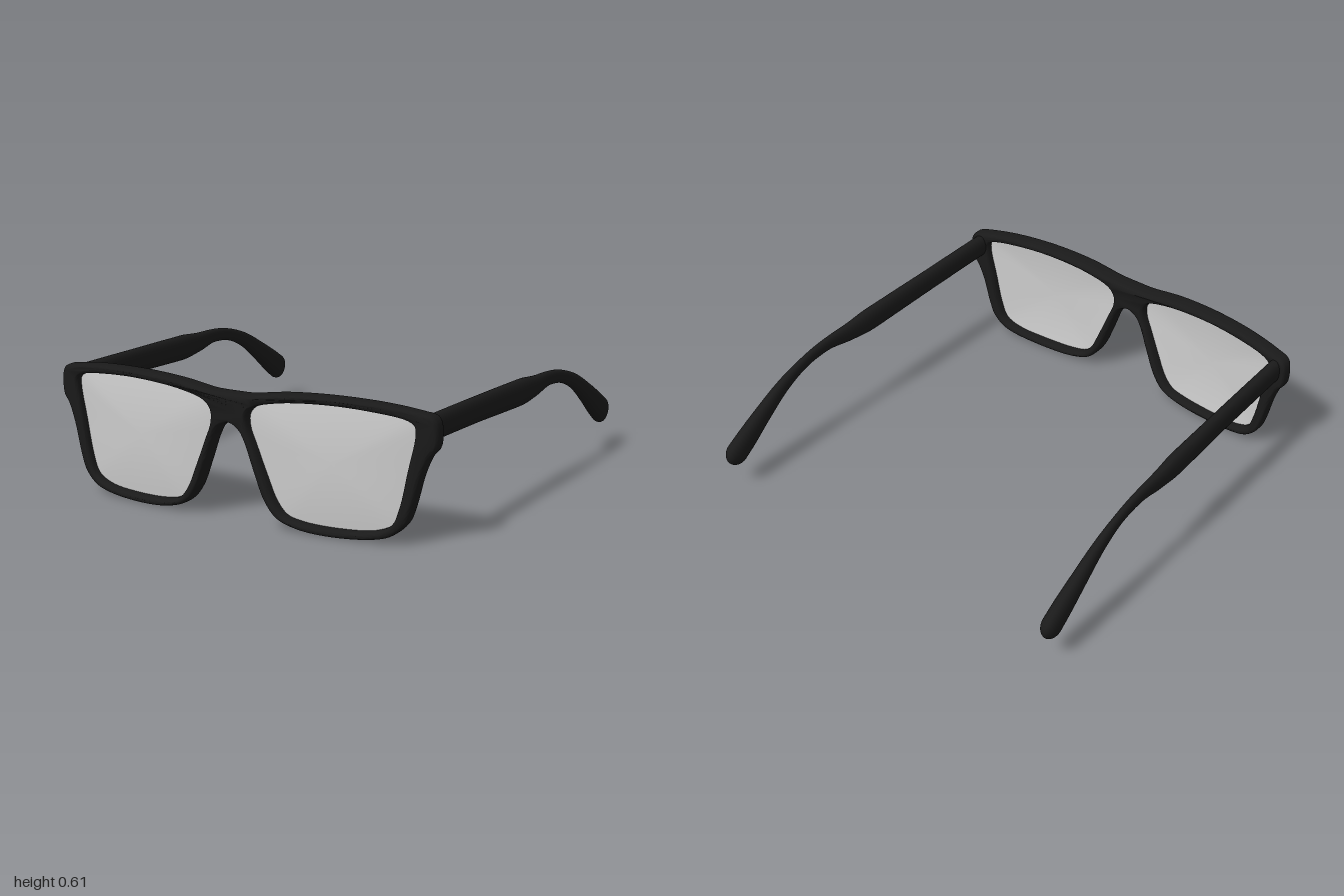
import * as THREE from 'three';
import { toCreasedNormals } from 'three/addons/utils/BufferGeometryUtils.js';

const frameMat = new THREE.MeshStandardMaterial({ color: 0x1a1a1a });
frameMat.name = 'matte black frame';
const lensMat = new THREE.MeshStandardMaterial({ color: 0xcccccc, side: THREE.DoubleSide });
lensMat.name = 'silver lens';

// Half of the frame outline, from the top centre round to the bridge underside
const OUTER = [
  [0, 0.578], [0.1, 0.58], [0.17, 0.59], [0.27, 0.604], [0.48, 0.615], [0.72, 0.608], [0.88, 0.588],
  [0.945, 0.572], [0.962, 0.54], [0.96, 0.44], [0.93, 0.4], [0.895, 0.315], [0.857, 0.17],
  [0.83, 0.1], [0.77, 0.042], [0.69, 0.016], [0.48, 0.002], [0.325, 0.016], [0.235, 0.05],
  [0.177, 0.12], [0.124, 0.25], [0.08, 0.37], [0.05, 0.42], [0, 0.445],
];
// Lens opening on the +x side
const LENS = [
  [0.124, 0.527], [0.094, 0.492], [0.094, 0.435], [0.124, 0.357], [0.177, 0.225], [0.224, 0.12],
  [0.272, 0.066], [0.35, 0.045], [0.535, 0.038], [0.694, 0.053], [0.768, 0.09], [0.802, 0.17],
  [0.836, 0.33], [0.868, 0.49], [0.863, 0.53], [0.826, 0.55], [0.694, 0.569], [0.483, 0.578],
  [0.245, 0.56],
];

const outline = (pts, n) => new THREE.CatmullRomCurve3(
  pts.map(([x, y]) => new THREE.Vector3(x, y, 0)), true, 'centripetal')
  .getSpacedPoints(n).slice(0, -1).map((p) => new THREE.Vector2(p.x, p.y));
const mirror = (pts) => pts.map(([x, y]) => [-x, y]).reverse();

// Wrap of the front around the face
const wrap = (x) => 0.949 - 0.082 * (Math.abs(x) / 0.95) ** 2.2;

function indexed(positions, indices) {
  const g = new THREE.BufferGeometry();
  g.setAttribute('position', new THREE.Float32BufferAttribute(positions, 3));
  g.setIndex(indices);
  g.computeVertexNormals();
  return g;
}

function frameGeometry() {
  const shape = new THREE.Shape(outline([...OUTER, ...mirror(OUTER.slice(1, -1))], 280));
  for (const pts of [LENS, mirror(LENS)]) shape.holes.push(new THREE.Path(outline(pts, 130)));
  const bevel = 0.03, depth = 0.096 - 2 * bevel;
  const g = new THREE.ExtrudeGeometry(shape, {
    depth, bevelEnabled: true, bevelThickness: bevel, bevelSize: 0.015, bevelOffset: -0.015,
    bevelSegments: 5, steps: 1,
  });
  const p = g.attributes.position;
  for (let i = 0; i < p.count; i++) {
    const x = p.getX(i), z = p.getZ(i) - depth / 2;
    p.setZ(i, wrap(x) + z * (1 - 0.22 * (x / 0.95) ** 2));
  }
  return toCreasedNormals(g, 0.9);
}

// Gently domed lens made of shrinking rings
function lensGeometry(side) {
  const rim = outline(side > 0 ? LENS : mirror(LENS), 96);
  const n = rim.length, rings = 10, cx = 0.49 * side, cy = 0.32;
  const pos = [], idx = [];
  for (let r = 0; r <= rings; r++) {
    const k = 1.012 * (1 - r / rings);
    for (const q of rim) {
      const x = cx + (q.x - cx) * k, y = cy + (q.y - cy) * k;
      pos.push(x, y, wrap(x) + 0.017 * (1 - k * k));
    }
  }
  const ccw = THREE.ShapeUtils.area(rim) > 0;
  for (let r = 0; r < rings; r++) for (let j = 0; j < n; j++) {
    const a = r * n + j, b = r * n + (j + 1) % n, c = a + n, d = b + n;
    if (ccw) idx.push(a, b, c, b, d, c);
    else idx.push(a, c, b, b, c, d);
  }
  return indexed(pos, idx);
}

// Temple stations: x, y, z of the centre, then half width and half height
const TEMPLE = [
  [0.907, 0.513, 0.86, 0.033, 0.057], [0.911, 0.506, 0.63, 0.032, 0.058],
  [0.915, 0.498, 0.4, 0.031, 0.059], [0.92, 0.49, 0.2, 0.032, 0.061],
  [0.925, 0.482, 0, 0.033, 0.062], [0.93, 0.48, -0.15, 0.027, 0.049],
  [0.935, 0.486, -0.3, 0.02, 0.034], [0.939, 0.464, -0.45, 0.018, 0.031],
  [0.943, 0.408, -0.6, 0.023, 0.037], [0.946, 0.318, -0.75, 0.031, 0.049],
  [0.947, 0.238, -0.87, 0.036, 0.061], [0.948, 0.194, -0.936, 0.037, 0.064],
];

function templeGeometry(side) {
  const path = new THREE.CatmullRomCurve3(TEMPLE.map((s) => new THREE.Vector3(s[0], s[1], s[2])));
  const size = new THREE.CatmullRomCurve3(TEMPLE.map((s) => new THREE.Vector3(s[3], s[4], 0)));
  const sides = 28, steps = 66, cap = 8, pos = [], idx = [];
  const soft = (v) => Math.sign(v) * Math.abs(v) ** 0.85;
  for (let i = 0; i <= steps + cap; i++) {
    const t = Math.min(i / steps, 1);
    const a = Math.max(0, i - steps) / cap * Math.PI / 2;   // rounded tip
    const c = path.getPoint(t), s = size.getPoint(t), d = path.getTangent(t);
    c.addScaledVector(d, Math.sin(a) * s.y);
    const k = Math.cos(a), len = Math.hypot(d.y, d.z);
    for (let j = 0; j < sides; j++) {
      const th = j / sides * Math.PI * 2;
      const u = soft(Math.cos(th)) * s.x * k, v = soft(Math.sin(th)) * s.y * k;
      pos.push(side * (c.x + u), c.y - v * d.z / len, c.z + v * d.y / len);
    }
  }
  for (let i = 0; i < steps + cap; i++) for (let j = 0; j < sides; j++) {
    const a = i * sides + j, b = i * sides + (j + 1) % sides, c = a + sides, d = b + sides;
    if (side > 0) idx.push(a, c, b, b, c, d);
    else idx.push(a, b, c, b, d, c);
  }
  return indexed(pos, idx);
}

export function createModel() {
  const group = new THREE.Group();
  group.name = 'sunglasses';
  const add = (name, geometry, material) => {
    const mesh = new THREE.Mesh(geometry, material);
    mesh.name = name;
    group.add(mesh);
  };
  add('frontFrame', frameGeometry(), frameMat);
  for (const [name, side] of [['left', 1], ['right', -1]]) {
    add(name + 'Lens', lensGeometry(side), lensMat);
    add(name + 'Temple', templeGeometry(side), frameMat);
  }
  return group;
}
